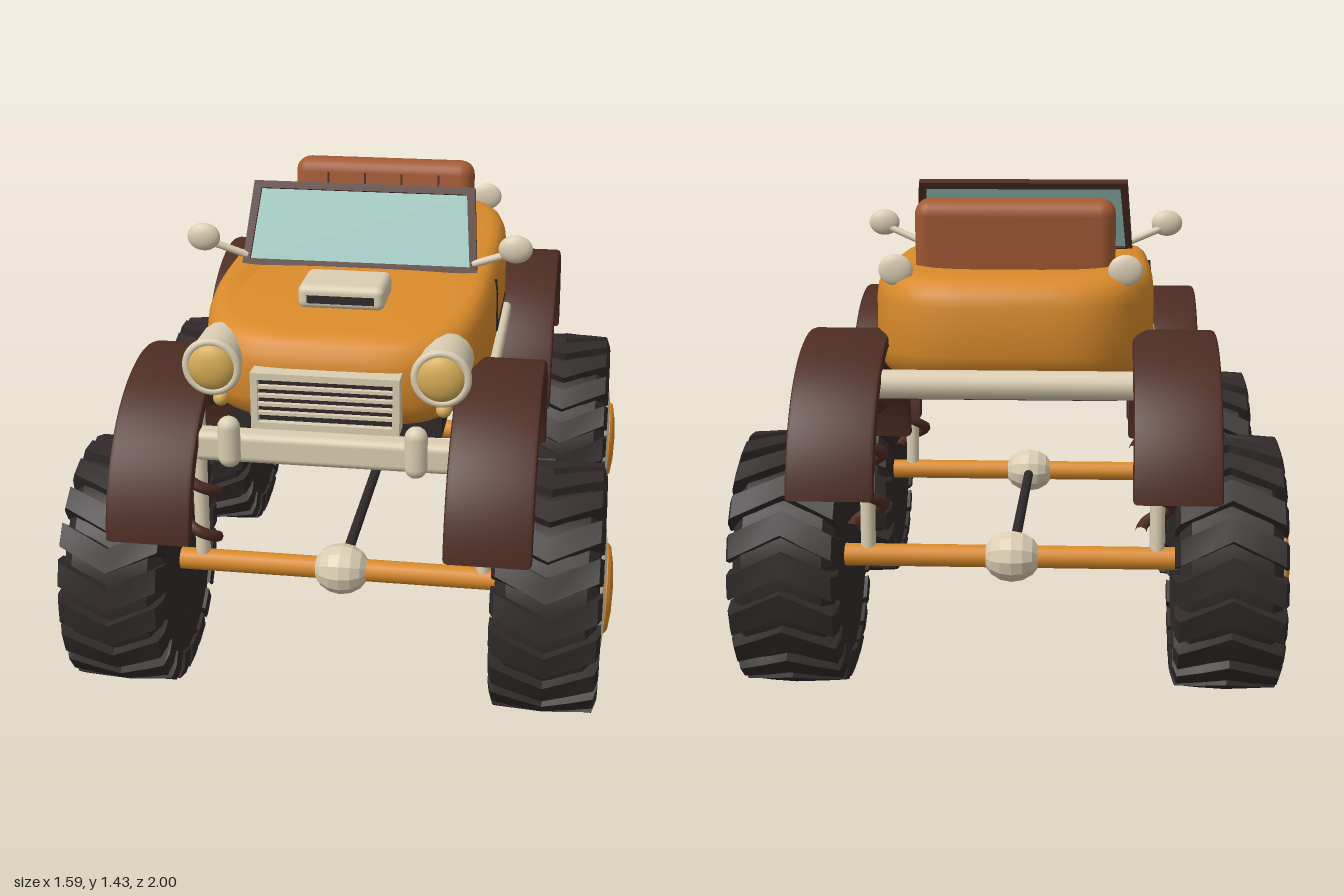
import * as THREE from 'three';
import { toCreasedNormals } from 'three/addons/utils/BufferGeometryUtils.js';
import { RoundedBoxGeometry } from 'three/addons/geometries/RoundedBoxGeometry.js';

const paint = (name, color) => {
  const m = new THREE.MeshStandardMaterial({ color });
  m.name = name;
  return m;
};
const ORANGE = paint('orange paint', 0xd98a2a), CREAM = paint('cream trim', 0xdacdb2);
const BROWN = paint('dark brown', 0x4d2c22), BLACK = paint('rubber black', 0x302929);
const LEATHER = paint('leather', 0xa35a34), GLASS = paint('glass', 0x9cc6be);
const LENS = paint('amber lens', 0xd6ac56);
const V = (x, y, z) => new THREE.Vector3(x, y, z);

// Skin a list of equal-length closed rings and cap both ends
function loft(rings, crease) {
  const n = rings[0].length, last = (rings.length - 1) * n, idx = [];
  for (let i = 0; i < rings.length - 1; i++) {
    for (let j = 0; j < n; j++) {
      const k = (j + 1) % n, a = i * n + j, b = i * n + k, c = b + n, d = a + n;
      idx.push(a, d, c, a, c, b);
    }
  }
  for (let j = 1; j < n - 1; j++) idx.push(0, j, j + 1, last, last + j + 1, last + j);
  const g = new THREE.BufferGeometry().setFromPoints(rings.flat());
  g.setIndex(idx);
  return toCreasedNormals(g, crease);
}

export function createModel() {
  const model = new THREE.Group();
  model.name = 'monsterRoadster';
  const add = (name, geo, mat, x = 0, y = 0, z = 0, parent = model) => {
    const m = new THREE.Mesh(geo, mat);
    m.name = name;
    m.position.set(x, y, z);
    parent.add(m);
    return m;
  };
  const box = (w, h, d, r = 0) => r ? new RoundedBoxGeometry(w, h, d, 3, r) : new THREE.BoxGeometry(w, h, d);
  const rod = (name, a, b, r, mat, parent = model) => {
    const m = add(name, new THREE.CylinderGeometry(r, r, a.distanceTo(b), 16), mat, 0, 0, 0, parent);
    m.position.copy(a).lerp(b, 0.5);
    m.quaternion.setFromUnitVectors(V(0, 1, 0), b.clone().sub(a).normalize());
    return m;
  };
  const ball = (name, mat, x, y, z, rx, ry, rz, parent = model) => {
    const m = add(name, new THREE.SphereGeometry(1, 24, 16), mat, x, y, z, parent);
    m.scale.set(rx, ry, rz);
    return m;
  };
  const frameShape = (outer, inner) => {
    const s = new THREE.Shape(outer.map(p => new THREE.Vector2(...p)));
    s.holes.push(new THREE.Path(inner.map(p => new THREE.Vector2(...p))));
    return s;
  };

  // Body tub: outer shell, rolled deck edge, cockpit rim, inner wall and floor
  const ring = (y, rx, rz, cz, n = 4) => Array.from({ length: 72 }, (_, i) => {
    const t = i / 72 * Math.PI * 2, c = Math.cos(t), s = Math.sin(t);
    const z = cz + rz * Math.sign(s) * Math.abs(s) ** (2 / n);
    const drop = y > 1.1 ? 0.04 * Math.max(0, (z - 0.2) / 0.55) ** 2 : 0;
    return V(rx * Math.sign(c) * Math.abs(c) ** (2 / n), y - drop, z);
  });
  const shell = [[0.9, 0.9], [0.925, 0.955], [0.95, 0.985], [0.985, 1], [1.12, 1], [1.155, 0.99], [1.18, 0.965], [1.194, 0.93], [1.2, 0.88]];
  const rings = shell.map(([y, s]) => ring(y, 0.41 * s, 0.765 * s, 0.01));
  rings.push(ring(1.2, 0.305, 0.36, -0.14, 3.5), ring(1.185, 0.293, 0.347, -0.14, 3.5),
    ring(1.15, 0.285, 0.338, -0.14, 3.5), ring(1.0, 0.28, 0.32, -0.14, 3.5));
  add('body', loft(rings, 0.75), ORANGE);
  add('chassis', box(0.6, 0.07, 1.3), BLACK, 0, 0.885, 0);

  // Bench seat
  const back = new THREE.Group();
  back.name = 'seatBack';
  back.position.set(0, 1.21, -0.355);
  back.rotation.x = -0.12;
  model.add(back);
  add('backrest', box(0.585, 0.37, 0.11, 0.045), LEATHER, 0, 0, 0, back);
  for (const x of [-0.18, -0.06, 0.06, 0.18]) add('seam', box(0.006, 0.28, 0.004), BROWN, x, 0, 0.056, back);
  add('seatCushion', box(0.56, 0.12, 0.26, 0.03), LEATHER, 0, 1.06, -0.19);

  // Steering wheel facing the driver
  const steering = new THREE.Group();
  steering.name = 'steeringWheel';
  steering.position.set(-0.145, 1.2, 0.025);
  steering.rotation.x = 0.8;
  model.add(steering);
  add('wheelRim', new THREE.TorusGeometry(0.086, 0.011, 10, 36), BROWN, 0, 0, 0, steering);
  ball('wheelHub', CREAM, 0, 0, 0, 0.022, 0.022, 0.014, steering);
  for (let i = 0; i < 3; i++) {
    const a = Math.PI * (0.5 + i * 2 / 3);
    rod('spoke', V(0, 0, 0), V(Math.cos(a) * 0.084, Math.sin(a) * 0.084, 0), 0.006, CREAM, steering);
  }
  rod('steeringColumn', V(0, 0, 0), V(0, 0, 0.16), 0.012, BROWN, steering);

  // Raked windshield
  const screen = new THREE.Group();
  screen.name = 'windshield';
  screen.position.set(0, 1.19, 0.21);
  screen.rotation.x = -0.46;
  model.add(screen);
  const pane = [[-0.33, 0.02], [0.33, 0.02], [0.31, 0.236], [-0.31, 0.236]];
  const surround = frameShape([[-0.353, 0], [0.353, 0], [0.333, 0.258], [-0.333, 0.258]], pane);
  add('windshieldFrame', new THREE.ExtrudeGeometry(surround, { depth: 0.026, bevelEnabled: false }), BROWN, 0, 0, -0.013, screen);
  add('windshieldGlass', new THREE.ExtrudeGeometry(new THREE.Shape(pane.map(p => new THREE.Vector2(...p))),
    { depth: 0.006, bevelEnabled: false }), GLASS, 0, 0, -0.003, screen);

  // Hood scoop
  add('hoodScoop', box(0.245, 0.07, 0.18, 0.022), CREAM, 0, 1.208, 0.46);
  add('scoopMouth', box(0.19, 0.022, 0.008), BLACK, 0, 1.205, 0.55);

  // Grille
  const rect = (w, h) => [[-w, -h], [w, -h], [w, h], [-w, h]];
  add('grilleFrame', new THREE.ExtrudeGeometry(frameShape(rect(0.202, 0.08), rect(0.183, 0.061)),
    { depth: 0.07, bevelEnabled: false }), CREAM, 0, 1, 0.75);
  add('grilleBacking', box(0.37, 0.125, 0.04), BLACK, 0, 1, 0.78);
  for (let i = 0; i < 4; i++) add('grilleBar', box(0.366, 0.009, 0.014), CREAM, 0, 0.963 + i * 0.025, 0.807);

  // Bumpers
  add('frontBumper', box(0.72, 0.085, 0.07, 0.02), CREAM, 0, 0.872, 0.825);
  rod('rearBumper', V(-0.37, 0.915, -0.775), V(0.37, 0.915, -0.775), 0.04, CREAM);

  // Fender arch with flat lower ends
  const arch = new THREE.Shape();
  arch.absarc(0, 0, 0.44, 0.102, Math.PI - 0.102, false);
  arch.absarc(0, 0, 0.402, Math.PI - 0.112, 0.112, true);
  const fenderGeo = toCreasedNormals(new THREE.ExtrudeGeometry(arch, {
    depth: 0.211, bevelThickness: 0.012, bevelSize: 0.01, bevelOffset: -0.01, bevelSegments: 2, curveSegments: 40
  }).translate(0, 0, -0.1055).rotateY(Math.PI / 2), 0.5);

  // Tyre carcass, chevron lug, rim and hub, all turned around the x axis
  const lathe = (pts, seg) => toCreasedNormals(new THREE.LatheGeometry(
    pts.map(p => new THREE.Vector2(...p)), seg).rotateZ(-Math.PI / 2), 0.5);
  const tyreGeo = lathe([[0, -0.125], [0.2, -0.125], [0.25, -0.145], [0.3, -0.14], [0.335, -0.11], [0.342, 0],
    [0.335, 0.11], [0.3, 0.14], [0.25, 0.145], [0.2, 0.125], [0, 0.125]], 48);
  const lugGeo = loft([-1, -0.92, -0.5, 0, 0.5, 0.92, 1].map(t => {
    const end = Math.abs(t), lead = 0.2 * (1 - end), top = end === 1 ? 0.325 : 0.367 - 0.008 * end;
    return [[0.28, -0.125], [0.28, 0.125], [top, 0.095], [top, -0.095]].map(([r, a]) =>
      V(t * 0.153, r * Math.cos(a + lead), r * Math.sin(a + lead)));
  }), 0.3);
  const rimGeo = lathe([[0.225, 0.1], [0.225, 0.145], [0.215, 0.153], [0.13, 0.163], [0, 0.163]], 48);
  const hubGeo = lathe([[0.13, 0.14], [0.13, 0.166], [0.12, 0.174], [0.07, 0.182], [0, 0.185]], 40);

  // Suspension coil
  const coil = Array.from({ length: 57 }, (_, i) => {
    const a = i / 16 * Math.PI * 2;
    return V(Math.cos(a) * 0.047, 0.45 + 0.52 * i / 56, Math.sin(a) * 0.047);
  });
  const springGeo = new THREE.TubeGeometry(new THREE.CatmullRomCurve3(coil), 110, 0.017, 8);

  for (const s of [-1, 1]) {
    for (const end of [-1, 1]) {
      const z = end * 0.555;
      const wheel = new THREE.Group();
      wheel.name = (end > 0 ? 'front' : 'rear') + (s > 0 ? 'Left' : 'Right') + 'Wheel';
      wheel.position.set(s * 0.612, 0.367, z);
      model.add(wheel);
      add('tyre', tyreGeo, BLACK, 0, 0, 0, wheel);
      for (let i = 0; i < 20; i++) add('treadLug', lugGeo, BLACK, 0, 0, 0, wheel).rotation.x = i / 20 * Math.PI * 2;
      add('rim', rimGeo, CREAM, 0, 0, 0, wheel).rotation.y = s > 0 ? 0 : Math.PI;
      add('hubCap', hubGeo, ORANGE, 0, 0, 0, wheel).rotation.y = s > 0 ? 0 : Math.PI;
      add('fender', fenderGeo, BROWN, s * 0.457, 0.595, end * 0.56);
      rod('shockAbsorber', V(s * 0.42, 0.39, z), V(s * 0.42, 1.0, z), 0.022, CREAM);
      add('spring', springGeo, BROWN, s * 0.42, 0, z);
    }
    // Side trim and door seam
    add('sideSill', box(0.04, 0.045, 0.6, 0.015), CREAM, s * 0.41, 0.925, 0);
    const seam = [V(s * 0.405, 1.165, 0.165), V(s * 0.409, 1.12, 0.16), V(s * 0.41, 1.0, 0.147), V(s * 0.407, 0.984, -0.27)];
    for (let i = 0; i < 3; i++) rod('doorSeam', seam[i], seam[i + 1], 0.005, BLACK);
    // Mirrors and lamps
    rod('mirrorStalk', V(s * 0.34, 1.22, 0.2), V(s * 0.45, 1.265, 0.225), 0.011, CREAM);
    ball('mirror', CREAM, s * 0.465, 1.28, 0.232, 0.05, 0.042, 0.024);
    rod('headlampShell', V(s * 0.31, 1.085, 0.64), V(s * 0.31, 1.085, 0.8), 0.074, CREAM);
    add('headlampRing', new THREE.TorusGeometry(0.07, 0.012, 12, 40), CREAM, s * 0.31, 1.085, 0.8);
    ball('headlampLens', LENS, s * 0.31, 1.085, 0.8, 0.066, 0.066, 0.032);
    ball('turnSignal', LENS, s * 0.31, 0.96, 0.71, 0.022, 0.022, 0.025);
    ball('tailLamp', CREAM, s * 0.318, 1.212, -0.635, 0.048, 0.044, 0.016);
    const guard = add('bumperGuard', new THREE.CapsuleGeometry(0.031, 0.085, 6, 16), CREAM, s * 0.253, 0.897, 0.866);
    guard.scale.z = 0.9;
  }

  // Axles, differentials and driveshaft
  for (const z of [-0.555, 0.555]) {
    rod('axle', V(-0.5, 0.37, z), V(0.5, 0.37, z), 0.033, ORANGE);
    const diff = add('differential', toCreasedNormals(new THREE.SphereGeometry(0.076, 12, 8), 0.2), CREAM, 0, 0.37, z);
    diff.rotation.z = Math.PI / 2;
    diff.scale.y = 1.12;
  }
  rod('driveshaft', V(0, 0.37, -0.55), V(0, 0.37, 0.55), 0.016, BLACK);
  return model;
}
